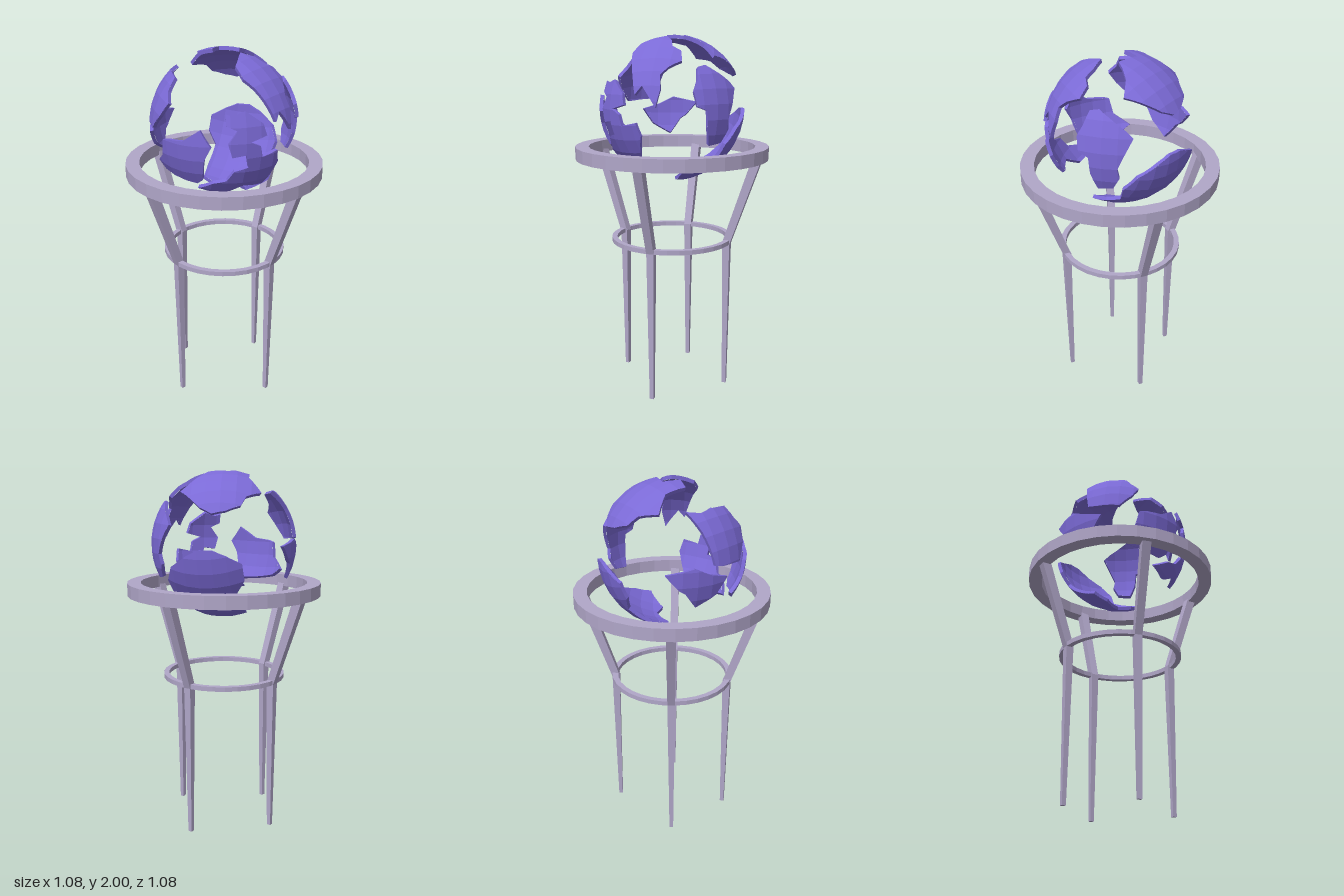
import * as THREE from 'three';

const R = 0.4, THICK = 0.02, CENTRE_Y = 1.6, CELL = 0.2;
const globeMat = new THREE.MeshStandardMaterial({ color: 0x7b6ad6 });
const standMat = new THREE.MeshStandardMaterial({ color: 0xb0a6c8, flatShading: true });

// Lift pairs of coordinates onto the sphere; axis is the missing coordinate
function lift(pairs, axis, sign) {
  const pts = [];
  for (let i = 0; i < pairs.length; i += 2) {
    const a = pairs[i], b = pairs[i + 1];
    const c = sign * Math.sqrt(Math.max(0, R * R - a * a - b * b));
    const p = axis === 'x' ? [c, a, b] : axis === 'y' ? [a, c, b] : [a, b, c];
    pts.push(new THREE.Vector3(...p).normalize());
  }
  return pts;
}

// Keep the part of a convex polygon where side * (p[k] - limit) >= 0
function clip(poly, k, limit, side) {
  const out = [];
  poly.forEach((p, i) => {
    const q = poly[(i + 1) % poly.length];
    const dp = side * (p[k] - limit), dq = side * (q[k] - limit);
    if (dp >= 0) out.push(p);
    if ((dp > 0 && dq < 0) || (dp < 0 && dq > 0)) {
      const t = dp / (dp - dq);
      out.push({ x: p.x + (q.x - p.x) * t, y: p.y + (q.y - p.y) * t });
    }
  });
  return out;
}

// Thick curved shell piece with a faceted surface, from its outline on the sphere
function continent(name, axis, sign, pairs) {
  const dirs = lift(pairs, axis, sign);
  const n = dirs.reduce((s, d) => s.add(d), new THREE.Vector3()).normalize();
  const u = new THREE.Vector3(0, 1, 0).cross(n);
  if (u.length() < 0.1) u.set(1, 0, 0).cross(n);
  u.normalize();
  const v = n.clone().cross(u);

  // Unroll to a flat map around the centre, and back again
  let flat = dirs.map(d => {
    const a = Math.acos(Math.min(1, d.dot(n)));
    const x = d.dot(u), y = d.dot(v), l = Math.hypot(x, y) || 1;
    return new THREE.Vector2(x / l * a, y / l * a);
  });
  if (THREE.ShapeUtils.isClockWise(flat)) flat.reverse();
  const toDir = p => {
    const a = Math.hypot(p.x, p.y), s = a ? Math.sin(a) / a : 1;
    return n.clone().multiplyScalar(Math.cos(a)).addScaledVector(u, p.x * s).addScaledVector(v, p.y * s);
  };

  const pos = [], nor = [];
  const tri = (a, b, c, normal) => {
    for (const p of [a, b, c]) { pos.push(p.x, p.y, p.z); nor.push(normal.x, normal.y, normal.z); }
  };
  const at = (d, r) => d.clone().multiplyScalar(r);

  // Outer and inner faces, cut into grid facets
  const lo = k => Math.floor(Math.min(...flat.map(p => p[k])) / CELL);
  const hi = k => Math.ceil(Math.max(...flat.map(p => p[k])) / CELL);
  for (const f of THREE.ShapeUtils.triangulateShape(flat, [])) {
    for (let i = lo('x'); i < hi('x'); i++) for (let j = lo('y'); j < hi('y'); j++) {
      let poly = f.map(k => flat[k]);
      poly = clip(poly, 'x', i * CELL, 1);
      poly = clip(poly, 'x', (i + 1) * CELL, -1);
      poly = clip(poly, 'y', j * CELL, 1);
      poly = clip(poly, 'y', (j + 1) * CELL, -1);
      if (poly.length < 3) continue;
      const normal = toDir({ x: (i + 0.5) * CELL, y: (j + 0.5) * CELL });
      const inward = normal.clone().negate();
      const d = poly.map(toDir);
      for (let k = 1; k < d.length - 1; k++) {
        tri(at(d[0], R), at(d[k], R), at(d[k + 1], R), normal);
        tri(at(d[0], R - THICK), at(d[k + 1], R - THICK), at(d[k], R - THICK), inward);
      }
    }
  }

  // Broken rim
  flat.forEach((p, i) => {
    const q = flat[(i + 1) % flat.length];
    const steps = Math.max(1, Math.ceil(p.distanceTo(q) / 0.12));
    for (let s = 0; s < steps; s++) {
      const a = toDir(p.clone().lerp(q, s / steps)), b = toDir(p.clone().lerp(q, (s + 1) / steps));
      const normal = b.clone().sub(a).cross(a).normalize();
      tri(at(a, R), at(a, R - THICK), at(b, R), normal);
      tri(at(b, R), at(a, R - THICK), at(b, R - THICK), normal);
    }
  });

  const geo = new THREE.BufferGeometry();
  geo.setAttribute('position', new THREE.Float32BufferAttribute(pos, 3));
  geo.setAttribute('normal', new THREE.Float32BufferAttribute(nor, 3));
  const mesh = new THREE.Mesh(geo, globeMat);
  mesh.name = name;
  return mesh;
}

// Flat hoop with a rectangular section
function hoop(name, inner, outer, y0, y1) {
  const profile = [[inner, y0], [outer, y0], [outer, y1], [inner, y1], [inner, y0]];
  const mesh = new THREE.Mesh(
    new THREE.LatheGeometry(profile.map(p => new THREE.Vector2(...p)), 32), standMat);
  mesh.name = name;
  return mesh;
}

// Square tapered bar between two points, turned to face outward
function bar(name, a, b, wa, wb, radial) {
  const geo = new THREE.CylinderGeometry(wb * Math.SQRT1_2, wa * Math.SQRT1_2, a.distanceTo(b), 4);
  geo.rotateY(Math.PI / 4).rotateX(Math.PI / 2);
  const mesh = new THREE.Mesh(geo, standMat);
  mesh.name = name;
  mesh.position.copy(a).lerp(b, 0.5);
  mesh.up.copy(radial);
  mesh.lookAt(b);
  return mesh;
}

export function createModel() {
  const model = new THREE.Group();
  model.name = 'globeOnStand';

  // Hollow globe made of separate land pieces
  const globe = new THREE.Group();
  globe.name = 'globe';
  globe.position.y = CENTRE_Y;
  globe.add(
    continent('topLand', 'y', 1, [
      -0.19, -0.215, -0.11, -0.28, -0.08, -0.325, 0, -0.35, 0.07, -0.35, 0.13, -0.315, 0.175, -0.26,
      0.23, -0.16, 0.16, -0.13, 0.11, -0.08, 0.08, -0.04, -0.03, -0.08, -0.06, 0.01, -0.14, -0.015, -0.13, -0.13]),
    continent('upperFrontLand', 'y', 1, [
      0.083, 0.057, 0.16, 0.052, 0.21, 0.066, 0.25, 0.032, 0.3, 0.043, 0.305, 0.115, 0.31, 0.163, 0.34, 0.172,
      0.345, 0.2, 0.28, 0.25, 0.265, 0.285, 0.16, 0.267, 0.1, 0.25, 0.06, 0.193, 0.075, 0.115]),
    continent('leftLand', 'x', 1, [
      0.23, -0.03, 0.24, -0.075, 0.155, -0.215, 0.12, -0.25, 0.03, -0.22, -0.035, -0.195, -0.09, -0.2,
      -0.16, -0.16, -0.17, -0.085, -0.075, -0.065, 0.015, -0.06, 0.035, -0.005, 0.11, 0.01, 0.165, -0.015]),
    continent('upperRightLand', 'x', -1, [
      0.29, -0.1, 0.28, -0.03, 0.29, 0.03, 0.28, 0.15, 0.22, 0.19, 0.17, 0.24, 0.1, 0.22,
      0.02, 0.16, 0.03, 0.03, 0.04, -0.02, 0.13, -0.04, 0.2, -0.06]),
    continent('lowerRightLand', 'x', -1, [
      0.01, -0.26, 0.04, -0.13, 0, -0.05, -0.03, 0.06, -0.12, 0, -0.18, -0.1, -0.09, -0.17, -0.07, -0.2]),
    continent('frontLand', 'z', 1, [
      0.015, 0.155, 0.05, 0.145, 0.11, 0.165, 0.2, 0.1, 0.22, 0.04, 0.14, 0.015, 0.19, -0.01, 0.2, -0.07,
      0.275, -0.05, 0.28, -0.12, 0.24, -0.2, 0.2, -0.25, 0.1, -0.24, 0, -0.295, -0.13, -0.27,
      -0.05, -0.22, 0.02, -0.2, 0.06, -0.14, 0.13, -0.12, 0.12, -0.05, 0.05, -0.06, 0.03, 0.01,
      0.075, 0.075, 0.02, 0.1]),
    continent('frontRightLand', 'z', 1, [
      -0.11, 0.075, -0.055, -0.01, -0.09, -0.08, -0.1, -0.2, -0.13, -0.23, -0.3, -0.2,
      -0.34, -0.16, -0.31, -0.1, -0.305, -0.01, -0.28, 0, -0.2, 0.01]),
    continent('bottomLand', 'y', -1, [
      -0.085, -0.385, 0, -0.399, 0.07, -0.394, 0.14, -0.375, 0.2, -0.345, 0.28, -0.27, 0.3, -0.2,
      0.26, -0.16, 0.27, -0.08, 0.245, 0.02, 0.12, 0.02, 0.08, -0.05, -0.05, -0.06,
      -0.125, -0.11, -0.1, -0.22, -0.06, -0.32, -0.1, -0.355]));
  model.add(globe);

  // Stand hoops
  model.add(hoop('upperRing', 0.465, 0.54, 1.325, 1.395));
  model.add(hoop('lowerRing', 0.315, 0.345, 0.85, 0.875));

  // Four legs, each with a splayed strut up to the wide ring
  for (const [x, z] of [[0.255, 0.2], [0.19, -0.26], [-0.26, -0.19], [-0.245, 0.21]]) {
    const out = new THREE.Vector3(x, 0, z).normalize();
    const point = (r, y) => out.clone().multiplyScalar(r).setY(y);
    model.add(bar('leg', point(0.324, 0), point(0.324, 0.865), 0.022, 0.042, out));
    model.add(bar('strut', point(0.324, 0.855), point(0.49, 1.345), 0.042, 0.05, out));
  }
  return model;
}
